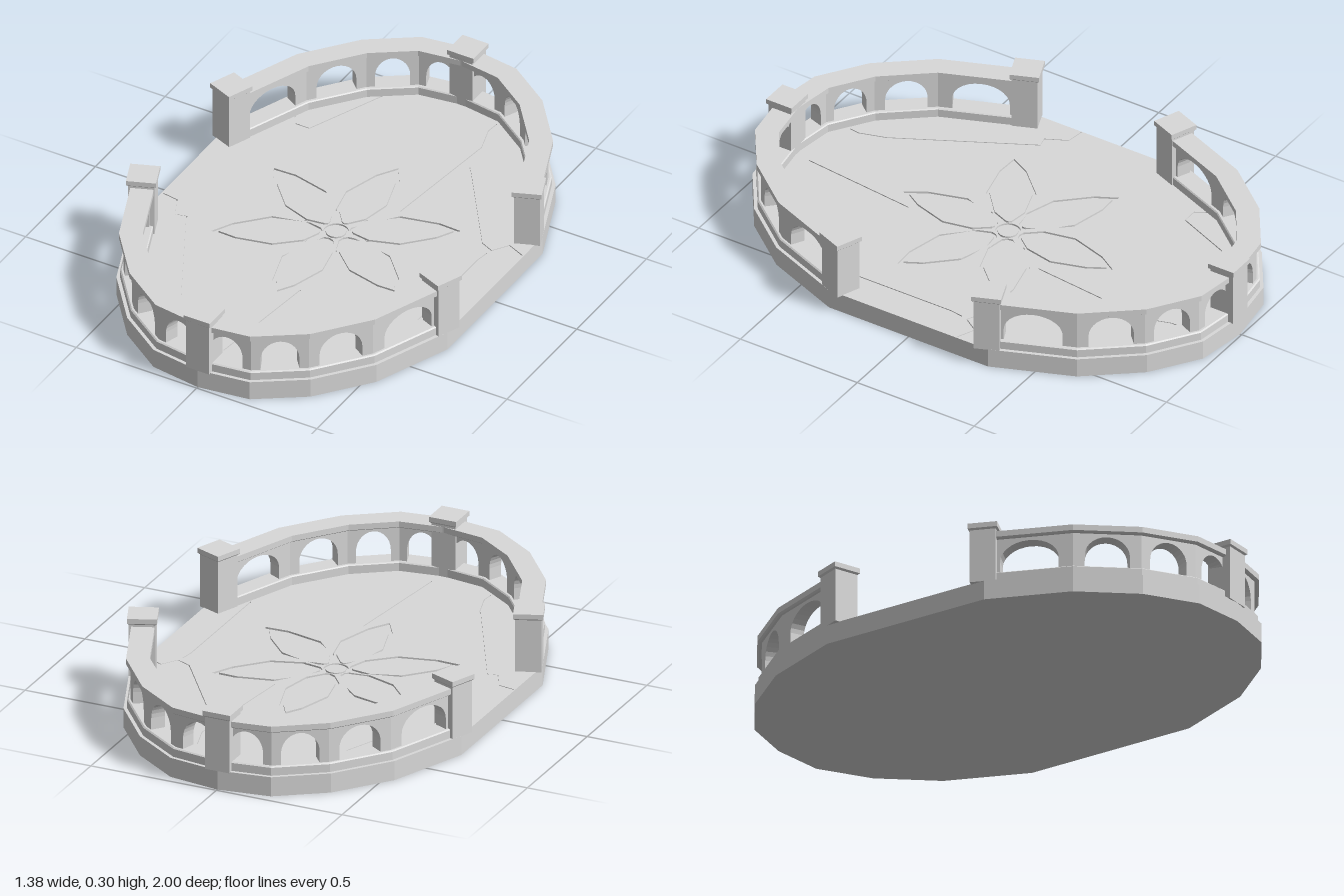
import * as THREE from 'three';
import { mergeGeometries } from 'three/addons/utils/BufferGeometryUtils.js';

const stone = new THREE.MeshStandardMaterial({ color: 0xd9d9d9 });
stone.name = 'pale stone';

const FLOOR = 0.075;
const GROOVE_BED = 0.068;
// One quarter of the terrace outline, from the front middle to the side opening
const QUARTER = [[0, 0.993], [0.2, 0.964], [0.381, 0.84], [0.54, 0.643], [0.661, 0.34]];
// Front half, running from the model's left to its right
const PATH = [...QUARTER].reverse()
  .concat(QUARTER.slice(1).map(([x, z]) => [-x, z]))
  .map(([x, z]) => new THREE.Vector2(x, z));

const normals = PATH.slice(1).map((p, i) => {
  const t = p.clone().sub(PATH[i]).normalize();
  return new THREE.Vector2(t.y, -t.x);
});

// Path corner i moved inward by w, mitred between its two segments
function inset(i, w) {
  const a = normals[Math.max(i - 1, 0)];
  const b = normals[Math.min(i, normals.length - 1)];
  return PATH[i].clone().addScaledVector(a.clone().add(b), -w / (1 + a.dot(b)));
}

// Bends a (u, y, w) geometry onto path segment i: u along, w inward
function bend(geo, i) {
  const pos = geo.attributes.position;
  for (let k = 0; k < pos.count; k++) {
    const w = pos.getZ(k);
    const p = inset(i, w).lerp(inset(i + 1, w), pos.getX(k));
    pos.setXYZ(k, p.x, pos.getY(k), p.y);
  }
  geo.computeVertexNormals();
  return geo;
}

const vectors = (pts) => pts.map(([x, y]) => new THREE.Vector2(x, y));
const polygon = (pts) => new THREE.Shape(vectors(pts));

function mesh(name, geo) {
  const m = new THREE.Mesh(geo, stone);
  m.name = name;
  return m;
}

// Sweeps a (w, y) profile along the whole half outline
function band(name, profile) {
  return mesh(name, mergeGeometries(normals.map((_, i) => {
    const g = new THREE.ExtrudeGeometry(polygon(profile), { depth: 1, bevelEnabled: false });
    g.rotateY(-Math.PI / 2).translate(1, 0, 0);
    return bend(g, i);
  })));
}

// Wall with one elliptical arch per segment
function arcade() {
  return mesh('arcade', mergeGeometries(normals.map((_, i) => {
    const half = 0.335, spring = 0.155, rise = 0.076;
    const pts = [[0, 0.25], [0, 0.105], [0.5 - half, 0.105]];
    for (let k = 0; k <= 14; k++) {
      const a = Math.PI * (1 - k / 14);
      pts.push([0.5 + half * Math.cos(a), spring + rise * Math.sin(a)]);
    }
    pts.push([0.5 + half, 0.105], [1, 0.105], [1, 0.25]);
    const g = new THREE.ExtrudeGeometry(polygon(pts), { depth: 0.054, bevelEnabled: false });
    g.translate(0, 0, 0.025);
    return bend(g, i);
  })));
}

// Square pillar with a flat cap on a short flare
function post(x, z, angle) {
  const g = new THREE.Group();
  g.name = 'post';
  const box = (name, size, y0, y1) => {
    const m = mesh(name, new THREE.BoxGeometry(size, y1 - y0, size));
    m.position.y = (y0 + y1) / 2;
    g.add(m);
  };
  box('postShaft', 0.096, 0.073, 0.281);
  box('capSlab', 0.109, 0.284, 0.303);
  const flare = new THREE.CylinderGeometry(0.0545 * Math.SQRT2, 0.048 * Math.SQRT2, 0.006, 4).toNonIndexed();
  flare.rotateY(Math.PI / 4).translate(0, 0.281, 0);
  flare.computeVertexNormals();
  g.add(mesh('capFlare', flare));
  g.position.set(x, 0, z);
  g.rotation.y = angle;
  return g;
}

function balustrade(name) {
  const g = new THREE.Group();
  g.name = name;
  g.add(band('plinth', [[0.013, 0.07], [0.013, 0.106], [0.018, 0.11], [0.088, 0.11], [0.092, 0.106], [0.092, 0.07]]));
  g.add(arcade());
  g.add(band('handrail', [[0.016, 0.243], [0.009, 0.248], [0.009, 0.27], [0.094, 0.27], [0.094, 0.248], [0.087, 0.243]]));
  const turn = Math.atan2(normals[0].x, normals[0].y);
  g.add(post(0, 0.9455, 0), post(0.618, 0.317, turn), post(-0.618, 0.317, -turn));
  return g;
}

// Petal outline turned to position i of six
function petal(half, tip, root, i) {
  const left = [...half].reverse().map(([x, y]) => [-x, y]);
  return vectors([[0, tip], ...half, [0, root], ...left])
    .map((p) => p.rotateAround(new THREE.Vector2(), i * Math.PI / 3));
}
const outerPetal = (i) => petal([[0.048, 0.372], [0.091, 0.23], [0.066, 0.11], [0.019, 0.054]], 0.448, 0.049, i);
const innerPetal = (i) => petal([[0.037, 0.362], [0.077, 0.23], [0.054, 0.117], [0.011, 0.062]], 0.422, 0.057, i);

// Hairline cracks in the floor, as [x, z] polylines
const CRACKS = [
  [[-0.655, 0.11], [-0.59, 0.12], [-0.55, 0.2], [-0.51, 0.19], [-0.25, 0.68], [-0.22, 0.78], [-0.225, 0.82]],
  [[-0.27, -0.81], [-0.4, -0.5], [-0.46, -0.5], [-0.485, -0.545]],
  [[0.17, -0.86], [0.165, -0.81], [0.195, -0.71], [0.14, -0.22]],
  [[0.072, 0.38], [0.02, 0.84]],
  [[0.655, -0.205], [0.585, -0.235], [0.545, -0.175], [0.49, -0.2], [0.22, -0.58]],
  [[0.538, -0.15], [0.53, -0.1], [0.53, 0.4]],
];

// Narrow ribbon around a polyline
function ribbon(line) {
  const pts = line.map(([x, z]) => new THREE.Vector2(x, -z));
  const side = (s) => pts.map((p, i) => {
    const t = pts[Math.min(i + 1, pts.length - 1)].clone().sub(pts[Math.max(i - 1, 0)]).normalize();
    return new THREE.Vector2(p.x - t.y * s, p.y + t.x * s);
  });
  return [...side(0.002), ...side(-0.002).reverse()];
}

// Flat layer with its shape in plan, between two heights
function layer(name, shape, y0, y1) {
  const g = new THREE.ExtrudeGeometry(shape, { depth: y1 - y0, bevelEnabled: false });
  return mesh(name, g.rotateX(-Math.PI / 2).translate(0, y0, 0));
}

// Slab with a paved top, cut by the flower grooves and the cracks
function floor() {
  const g = new THREE.Group();
  g.name = 'floor';
  const outline = [...PATH.map((p) => [p.x, p.y]), ...PATH.map((p) => [-p.x, -p.y])];
  g.add(layer('floorSlab', polygon(outline), 0, GROOVE_BED));

  const paving = polygon(outline);
  for (let i = 0; i < 6; i++) {
    paving.holes.push(new THREE.Path(outerPetal(i)));
    g.add(layer('petal', new THREE.Shape(innerPetal(i)), GROOVE_BED, FLOOR));
  }
  paving.holes.push(new THREE.Path().absarc(0, 0, 0.046, 0, Math.PI * 2));
  paving.holes.push(...CRACKS.map((line) => new THREE.Path(ribbon(line))));
  g.add(layer('paving', paving, GROOVE_BED, FLOOR));

  const centre = new THREE.Shape().absarc(0, 0, 0.037, 0, Math.PI * 2);
  g.add(layer('flowerCentre', centre, GROOVE_BED, FLOOR));
  return g;
}

export function createModel() {
  const model = new THREE.Group();
  model.name = 'ovalTerrace';
  // Balustrades at both rounded ends
  const back = balustrade('backBalustrade');
  back.rotation.y = Math.PI;
  model.add(floor(), balustrade('frontBalustrade'), back);
  return model;
}
